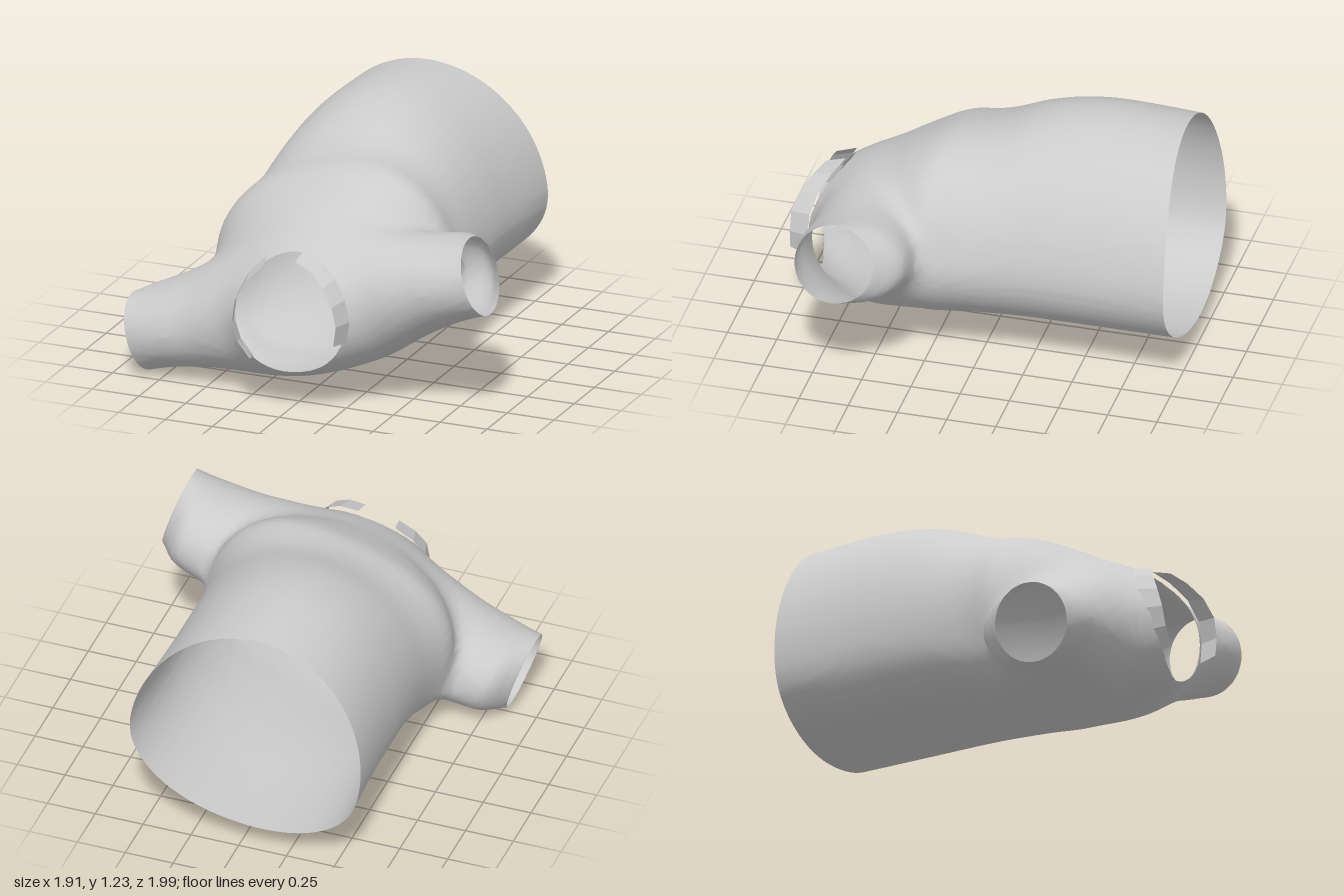
import * as THREE from 'three';

const TILT = 0.295;   // the whole garment is rolled around z
const LIFT = 0.47;
const SLEEVE_END = 0.94;
const NECK = { x: 0.025, y: 0.025, r: 0.29 };

// Body cross-sections along z:
// [z, half width, height above, depth below, centre y, roll, roundness of the upper half]
const BODY = [
  [-1.05, 0.605, 0.665, 0.4, 0.08, -0.12, 2], [-0.6, 0.585, 0.69, 0.405, 0.08, -0.12, 2],
  [-0.4, 0.585, 0.68, 0.405, 0.08, -0.12, 2], [-0.2, 0.585, 0.645, 0.4, 0.07, -0.1, 2.05],
  [0, 0.595, 0.6, 0.38, 0.035, -0.05, 2.2], [0.1, 0.61, 0.59, 0.37, 0.015, -0.02, 2.35],
  [0.25, 0.64, 0.575, 0.37, 0, 0, 2.5], [0.4, 0.59, 0.505, 0.37, 0, 0, 2.4],
  [0.55, 0.51, 0.425, 0.355, 0, 0, 2.1], [0.7, 0.43, 0.35, 0.335, 0, 0, 2],
  [0.85, 0.34, 0.26, 0.285, 0, 0, 2], [1.0, 0.2, 0.16, 0.18, 0, 0, 2],
];
// Sleeve cross-sections by distance from the middle: [x, centre z, half depth, half height]
const SLEEVE = [
  [0, 0.5, 0.34, 0.335], [0.3, 0.52, 0.335, 0.33], [0.6, 0.545, 0.28, 0.25],
  [0.75, 0.545, 0.28, 0.22], [0.85, 0.555, 0.262, 0.208], [0.94, 0.602, 0.198, 0.198],
];

// Smooth (Hermite) blend between neighbouring sections
function sectionAt(table, t) {
  const last = table.length - 1;
  if (t <= table[0][0]) return table[0];
  if (t >= table[last][0]) return table[last];
  const i = table.findIndex((row) => row[0] > t), a = table[i - 1], b = table[i];
  const before = table[Math.max(i - 2, 0)], after = table[Math.min(i + 1, last)];
  const d = b[0] - a[0], k = (t - a[0]) / d, k2 = k * k, k3 = k2 * k;
  return a.map((v, j) => {
    const m0 = (b[j] - before[j]) / (b[0] - before[0]) * d;
    const m1 = (after[j] - v) / (after[0] - a[0]) * d;
    return (2 * k3 - 3 * k2 + 1) * v + (k3 - 2 * k2 + k) * m0 + (3 * k2 - 2 * k3) * b[j] + (k3 - k2) * m1;
  });
}

// Field: negative inside the body or sleeves, smoothly joined
function field(x, y, z) {
  const [, w, up, down, cy, roll, round] = sectionAt(BODY, z);
  const c = Math.cos(roll), s = Math.sin(roll);
  const bx = x * c + (y - cy) * s, by = (y - cy) * c - x * s;
  const p = by > 0 ? round : 2.2, height = by > 0 ? up : down;
  const rho = (Math.abs(bx / w) ** p + Math.abs(by / height) ** p) ** (1 / p);
  const body = (rho - 1) * Math.min(w, height);
  const [, cz, hz, hy] = sectionAt(SLEEVE, Math.abs(x));
  const sleeve = (Math.hypot((z - cz) / hz, y / hy) - 1) * Math.min(hz, hy);
  const k = 0.08, h = Math.max(k - Math.abs(body - sleeve), 0) / k;
  return Math.min(body, sleeve) - h * h * k / 4;
}

// Moves a point past an opening back onto its rim; true if it was past
function trim(p) {
  let out = false;
  if (Math.abs(p.x) > SLEEVE_END) {
    p.x = Math.sign(p.x) * SLEEVE_END;
    out = true;
  }
  const hem = -0.99 + 0.06 * Math.max(0, p.y / 0.7) ** 2 - 0.008 * Math.cos(5 * p.x);
  if (p.z < hem) {
    p.z = hem;
    out = true;
  }
  const dx = p.x - NECK.x, dy = p.y - NECK.y, d = Math.hypot(dx, dy);
  if (p.z > 0.5 && d < NECK.r) {
    const s = NECK.r / Math.max(d, 1e-4);
    p.x = NECK.x + dx * s;
    p.y = NECK.y + dy * s;
    // drop the rim point onto the chest surface
    p.z = 1.05;
    while (p.z > 0.5 && field(p.x, p.y, p.z) > 0) p.z -= 0.004;
    out = true;
  }
  return out;
}

// Skin of the field, one vertex per crossed grid cell
function skinGeometry() {
  const h = 0.03, min = [-1.035, -0.6, -1.095], n = [70, 52, 76];
  const id = (i, j, k) => (k * n[1] + j) * n[0] + i;
  const step = [1, n[0], n[0] * n[1]];
  const values = new Float32Array(n[0] * n[1] * n[2]);
  const eachNode = (fn, from, end) => {
    for (let k = from; k < n[2] - end; k++)
      for (let j = from; j < n[1] - end; j++)
        for (let i = from; i < n[0] - end; i++) fn(i, j, k);
  };
  eachNode((i, j, k) => {
    values[id(i, j, k)] = field(min[0] + i * h, min[1] + j * h, min[2] + k * h);
  }, 0, 0);

  const vertexOf = new Map(), positions = [], past = [], index = [];
  eachNode((i, j, k) => {
    const c = id(i, j, k), sum = new THREE.Vector3();
    let count = 0;
    for (let a = 0; a < 8; a++) for (let d = 0; d < 3; d++) {
      if (a >> d & 1) continue;
      const o = [a & 1, a >> 1 & 1, a >> 2];
      const s = c + o[0] * step[0] + o[1] * step[1] + o[2] * step[2];
      const f0 = values[s], f1 = values[s + step[d]];
      if (f0 < 0 === f1 < 0) continue;
      o[d] += f0 / (f0 - f1);
      sum.add(new THREE.Vector3(...o));
      count++;
    }
    if (!count) return;
    const p = sum.multiplyScalar(1 / count).add(new THREE.Vector3(i, j, k));
    p.multiplyScalar(h).add(new THREE.Vector3(...min));
    past.push(trim(p));
    vertexOf.set(c, positions.length / 3);
    positions.push(p.x, p.y, p.z);
  }, 0, 1);

  eachNode((i, j, k) => {
    const c = id(i, j, k);
    for (let d = 0; d < 3; d++) {
      const inside = values[c] < 0;
      if (inside === values[c + step[d]] < 0) continue;
      const e = step[(d + 1) % 3], g = step[(d + 2) % 3];
      const q = [c - e - g, c - g, c, c - e].map((v) => vertexOf.get(v));
      if (q.includes(undefined) || q.every((v) => past[v])) continue;
      if (!inside) q.reverse();
      index.push(q[0], q[1], q[2], q[0], q[2], q[3]);
    }
  }, 1, 1);
  return surface(positions, index);
}

function surface(positions, index) {
  const geometry = new THREE.BufferGeometry();
  geometry.setAttribute('position', new THREE.Float32BufferAttribute(positions, 3));
  geometry.setIndex(index);
  geometry.computeVertexNormals();
  return geometry;
}

// Faceted collar band between two angles (degrees) around the neck
function collarGeometry(from, to, segments = 5) {
  const positions = [], index = [];
  for (let i = 0; i <= segments; i++) {
    const a = THREE.MathUtils.degToRad(from + (to - from) * i / segments);
    const s = Math.max(0, Math.sin(a)), z = 0.9 - 0.13 * s * s;
    for (const [r, dz] of [[0.31, -0.01], [0.28, 0.09]])
      positions.push(NECK.x + r * Math.cos(a), NECK.y + r * Math.sin(a), z + dz);
    if (i < segments) {
      const v = i * 2;
      index.push(v, v + 2, v + 1, v + 1, v + 2, v + 3);
    }
  }
  return surface(positions, index);
}

export function createModel() {
  const group = new THREE.Group();
  group.name = 'shirt';
  const add = (name, geometry, flatShading) => {
    const mesh = new THREE.Mesh(geometry, new THREE.MeshStandardMaterial({
      color: 0xcccccc, side: THREE.DoubleSide, flatShading,
    }));
    mesh.name = name;
    mesh.rotation.z = TILT;
    mesh.position.y = LIFT;
    group.add(mesh);
  };
  add('bodyAndSleeves', skinGeometry(), false);
  add('collarLeft', collarGeometry(-35, 70), true);
  add('collarRight', collarGeometry(108, 213), true);
  return group;
}
